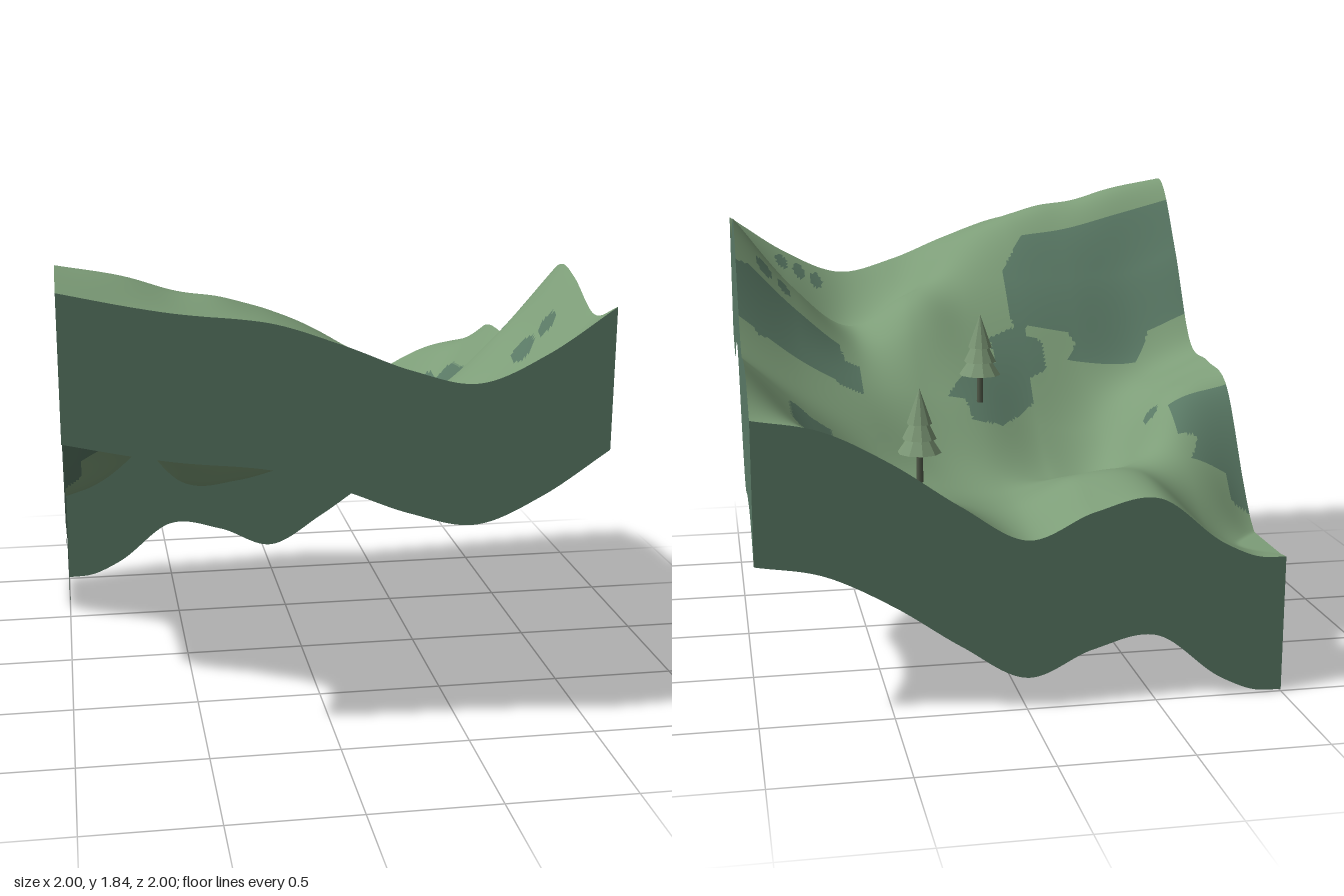
import * as THREE from 'three';

const N = 160;           // terrain cells per side
const DEPTH = 0.535;     // skirt height

// control heights every 0.25: rows run z = -1..1, columns x = -1..1
const HEIGHTS = [
  [0.55, 0.615, 0.795, 0.755, 0.66, 0.80, 0.97, 1.10, 1.15],
  [0.54, 0.645, 0.825, 0.815, 0.71, 0.76, 0.85, 1.02, 1.26],
  [0.73, 0.82, 0.79, 0.76, 0.71, 0.745, 0.84, 1.04, 1.275],
  [1.06, 0.98, 0.71, 0.70, 0.76, 0.82, 0.95, 1.09, 1.26],
  [1.115, 1.00, 0.84, 0.86, 0.97, 1.02, 1.08, 1.22, 1.43],
  [1.16, 1.07, 1.08, 1.14, 1.20, 1.23, 1.20, 1.41, 1.69],
  [1.53, 1.43, 1.42, 1.42, 1.41, 1.35, 1.23, 1.40, 1.69],
  [1.83, 1.78, 1.695, 1.65, 1.53, 1.31, 1.15, 1.31, 1.60],
  [1.78, 1.725, 1.68, 1.65, 1.565, 1.465, 1.41, 1.51, 1.675],
];

// smaller rises and dips: x, z, height, radius
const BUMPS = [
  [-1, -0.62, -0.055, 0.13], [-0.87, -0.78, -0.035, 0.14], [-0.9, -1, -0.02, 0.1],
  [0.2, 0.33, 0.04, 0.15], [-0.45, 0.85, 0.025, 0.12], [1, 0.4, 0.015, 0.12],
];

// smooth curve through evenly spaced values, v from -1 to 1
function spline(a, v) {
  const n = a.length - 1;
  const t = (v + 1) / 2 * n;
  const i = Math.min(Math.floor(t), n - 1);
  const f = t - i;
  const p1 = a[i], p2 = a[i + 1];
  const p0 = i > 0 ? a[i - 1] : 2 * p1 - p2;
  const p3 = i + 2 <= n ? a[i + 2] : 2 * p2 - p1;
  return p1 + 0.5 * f * (p2 - p0 + f * (2 * p0 - 5 * p1 + 4 * p2 - p3 + f * (3 * (p1 - p2) + p3 - p0)));
}

function height(x, z) {
  let y = spline(HEIGHTS.map((row) => spline(row, x)), z);
  for (const [bx, bz, h, r] of BUMPS) y += h * Math.exp(-((x - bx) ** 2 + (z - bz) ** 2) / (r * r));
  return Math.max(y, DEPTH);
}

// dark ground patches as [x, z] outlines
const PATCHES = [
  [[-1.1, 0.335], [-0.83, 0.335], [-0.75, 0.25], [-0.44, 0.25], [-0.49, 0.31], [-0.46, 0.335], [-0.27, 0.335],
    [-0.25, 0.29], [-0.22, 0.29], [-0.2, 0.37], [-0.2, 0.54], [-0.31, 0.66], [-1.1, 0.66]],
  [[-0.25, 0.08], [-0.09, -0.06], [0.04, -0.08], [0.06, 0], [0.14, 0], [0, 0.16], [-0.1, 0.18],
    [-0.09, 0.27], [-0.2, 0.32], [-0.33, 0.29], [-0.33, 0.2], [-0.25, 0.16]],
  [[0.5, -0.08], [0.6, -0.08], [0.62, -0.06], [0.88, -0.06], [0.92, -0.08], [0.95, -0.06], [1.1, -0.06],
    [1.1, 0.08], [0.95, 0.16], [0.58, 0.16], [0.56, 0.08], [0.5, 0.08]],
  [[0.69, -0.8], [0.73, -0.82], [0.75, -0.8], [0.75, -0.71], [0.81, -0.73], [0.83, -0.7], [0.83, -0.5],
    [0.8, -0.47], [0.75, -0.49], [0.67, -0.45], [0.67, -0.7]],
  [[-1.1, -0.59], [-0.93, -0.58], [-0.92, -0.5], [-0.78, -0.5], [-0.83, -0.41], [-0.75, -0.4],
    [-0.75, -0.25], [-1.1, -0.25]],
];
// small round spots: x, z, radius
const SPOTS = [[0.8, 0.22, 0.028], [0.88, 0.22, 0.032], [0.79, 0.54, 0.043], [0.88, 0.55, 0.032],
  [0.61, 0.945, 0.028], [0.69, 0.945, 0.028], [0.77, 0.945, 0.028], [-0.69, -0.2, 0.03]];

function inside(poly, x, z) {
  let hit = false;
  poly.forEach(([ax, az], i) => {
    const [bx, bz] = poly[(i + 1) % poly.length];
    if ((az > z) !== (bz > z) && x < ax + (z - az) / (bz - az) * (bx - ax)) hit = !hit;
  });
  return hit;
}

const isPatch = (x, z) => PATCHES.some((p) => inside(p, x, z))
  || SPOTS.some(([sx, sz, r]) => Math.hypot(x - sx, z - sz) < r);

function makeGeometry(positions, index) {
  const g = new THREE.BufferGeometry();
  g.setAttribute('position', new THREE.Float32BufferAttribute(positions, 3));
  g.setIndex(index);
  g.computeVertexNormals();
  return g;
}

function terrainGeometry() {
  const positions = [];
  const grass = [], patch = [];
  for (let j = 0; j <= N; j++) {
    for (let i = 0; i <= N; i++) {
      const x = -1 + 2 * i / N, z = -1 + 2 * j / N;
      positions.push(x, height(x, z), z);
    }
  }
  // each triangle takes the colour found at its own centre
  const at = (k) => -1 + 2 * k / N;
  for (let j = 0; j < N; j++) {
    for (let i = 0; i < N; i++) {
      const a = j * (N + 1) + i, b = a + 1, c = a + N + 1, d = c + 1;
      (isPatch(at(i + 1 / 3), at(j + 1 / 3)) ? patch : grass).push(a, c, b);
      (isPatch(at(i + 2 / 3), at(j + 2 / 3)) ? patch : grass).push(b, c, d);
    }
  }
  const g = makeGeometry(positions, [...grass, ...patch]);
  g.addGroup(0, grass.length, 0);
  g.addGroup(grass.length, patch.length, 1);
  return g;
}

// vertical wall hanging from one terrain edge; at(t) gives [x, z]
function skirtGeometry(at) {
  const positions = [], index = [];
  for (let i = 0; i <= N; i++) {
    const [x, z] = at(-1 + 2 * i / N);
    const y = height(x, z);
    positions.push(x, y, z, x, y - DEPTH, z);
    if (i < N) {
      const a = i * 2;
      index.push(a, a + 1, a + 2, a + 2, a + 1, a + 3);
    }
  }
  return makeGeometry(positions, index);
}

function makeTree(x, z, leaf, bark) {
  const tree = new THREE.Group();
  tree.name = 'tree';
  const trunk = new THREE.Mesh(new THREE.CylinderGeometry(0.012, 0.014, 0.15, 8), bark);
  trunk.name = 'trunk';
  trunk.position.y = 0.075;
  tree.add(trunk);
  // stacked foliage tiers: radius, bottom, top
  for (const [r, y0, y1] of [[0.087, 0.12, 0.25], [0.068, 0.175, 0.31], [0.05, 0.235, 0.375]]) {
    const tier = new THREE.Mesh(new THREE.ConeGeometry(r, y1 - y0, 10), leaf);
    tier.name = 'foliage';
    tier.position.y = (y0 + y1) / 2;
    tree.add(tier);
  }
  tree.position.set(x, height(x, z), z);
  return tree;
}

export function createModel() {
  const material = (name, color, extra) => {
    const m = new THREE.MeshStandardMaterial({ color, ...extra });
    m.name = name;
    return m;
  };
  const both = { side: THREE.DoubleSide };
  const grass = material('grass green', 0x7d9d78, both);
  const moss = material('moss green', 0x597864, both);
  const leaf = material('leaf green', 0x7a9574, { flatShading: true });
  const bark = material('bark', 0x4f5848);

  const model = new THREE.Group();
  model.name = 'terrainTile';

  const terrain = new THREE.Mesh(terrainGeometry(), [grass, moss]);
  terrain.name = 'terrain';
  model.add(terrain);

  // four walls, each facing outward
  const sides = {
    frontSkirt: (t) => [t, 1],
    backSkirt: (t) => [-t, -1],
    leftSkirt: (t) => [1, -t],
    rightSkirt: (t) => [-1, t],
  };
  for (const [name, at] of Object.entries(sides)) {
    const skirt = new THREE.Mesh(skirtGeometry(at), moss);
    skirt.name = name;
    model.add(skirt);
  }

  model.add(makeTree(0, 0, leaf, bark), makeTree(0.33, -0.5, leaf, bark));
  return model;
}
